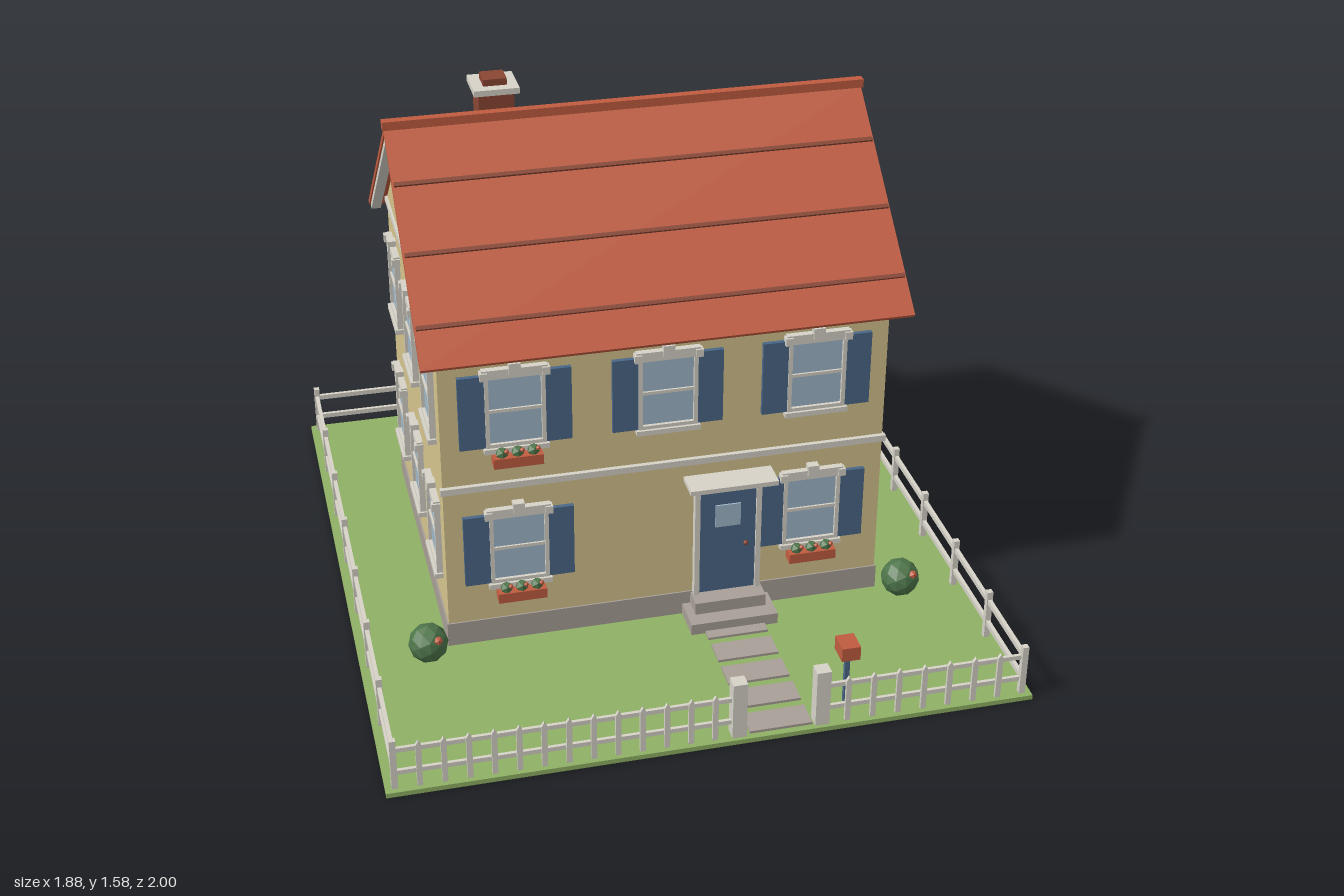
import * as THREE from 'three';

const mat = (name, color, flat = false) => {
  const m = new THREE.MeshStandardMaterial({ color, flatShading: flat });
  m.name = name;
  return m;
};

export function createModel() {
  const M = {
    wall: mat('wall cream', 0xd4c48c), trim: mat('trim white', 0xd6d2c8),
    roof: mat('roof red', 0xc05c40), brick: mat('brick brown', 0x8a4633),
    blue: mat('shutter blue', 0x4a6788), glass: mat('window glass', 0x9fb8ca),
    stone: mat('stone grey', 0xa89f97), grass: mat('grass green', 0x8fb064),
    leaf: mat('leaf green', 0x4d7449, true), gold: mat('autumn gold', 0xb8963f, true),
  };
  const model = new THREE.Group();
  model.name = 'houseWithGarden';

  const add = (parent, name, geo, m, x = 0, y = 0, z = 0) => {
    const mesh = new THREE.Mesh(geo, m);
    mesh.name = name;
    mesh.position.set(x, y, z);
    parent.add(mesh);
    return mesh;
  };
  const box = (parent, name, m, w, h, d, x, y, z) =>
    add(parent, name, new THREE.BoxGeometry(w, h, d), m, x, y, z);
  const group = (parent, name, x = 0, y = 0, z = 0, ry = 0) => {
    const g = new THREE.Group();
    g.name = name;
    g.position.set(x, y, z);
    g.rotation.y = ry;
    parent.add(g);
    return g;
  };

  const HX = 0.665, ZF = 0.372, ZB = -0.635, ZM = -0.13, LAWN = 0.015;

  // Lawn and path
  box(model, 'lawn', M.grass, 1.88, LAWN, 2, 0, LAWN / 2, 0);
  for (let i = 0; i < 5; i++)
    box(model, 'pathStone', M.stone, 0.185, 0.008, 0.082, 0.187, LAWN + 0.004, 0.487 + i * 0.113);

  // House body with gables
  const house = group(model, 'house');
  const gable = new THREE.Shape();
  gable.moveTo(ZF, LAWN);
  gable.lineTo(ZF, 1.038);
  gable.lineTo(ZM, 1.465);
  gable.lineTo(ZB, 1.038);
  gable.lineTo(ZB, LAWN);
  const bodyGeo = new THREE.ExtrudeGeometry(gable, { depth: HX * 2, bevelEnabled: false });
  bodyGeo.translate(0, 0, -HX).rotateY(-Math.PI / 2);
  add(house, 'walls', bodyGeo, M.wall);
  box(house, 'foundation', M.stone, HX * 2 + 0.01, 0.078, ZF - ZB + 0.01, 0, LAWN + 0.039, (ZF + ZB) / 2);
  box(house, 'beltCourse', M.trim, 1.345, 0.02, 0.016, 0, 0.56, ZF + 0.006);
  for (const s of [-1, 1])
    box(house, 'gableBand', M.trim, 0.01, 0.02, ZF - ZB, s * (HX + 0.003), 1.035, (ZF + ZB) / 2);

  // Roof: two mirrored slopes with battens and rake boards
  const roof = group(house, 'roof', 0, 1.487, ZM);
  for (const ry of [0, Math.PI]) {
    const side = group(roof, 'roofSide', 0, 0, 0, ry);
    const slope = group(side, 'roofSlope');
    slope.rotation.x = 0.705;
    box(slope, 'roofPanel', M.roof, 1.435, 0.016, 0.75, 0, -0.008, 0.375);
    for (const z of [0.184, 0.404, 0.626])
      box(slope, 'roofBatten', M.brick, 1.425, 0.01, 0.012, 0, 0.004, z);
    for (const s of [-1, 1])
      box(slope, 'rakeBoard', M.trim, 0.03, 0.018, 0.735, s * 0.698, -0.024, 0.372);
  }
  box(roof, 'ridgeCap', M.roof, 1.445, 0.026, 0.028, 0, 0.009, 0);

  // Chimney
  const chimney = group(house, 'chimney', -0.38, 0, -0.225);
  box(chimney, 'chimneyStack', M.brick, 0.105, 0.24, 0.105, 0, 1.425, 0);
  box(chimney, 'chimneyCap', M.trim, 0.135, 0.018, 0.135, 0, 1.553, 0);
  box(chimney, 'chimneyPot', M.brick, 0.07, 0.02, 0.07, 0, 1.572, 0);

  // Windows, built facing +z around their centre
  function addWindow(x, y, z, ry, shutters, planter) {
    const w = group(house, 'window', x, y, z, ry);
    box(w, 'windowPane', M.glass, 0.16, 0.22, 0.008, 0, 0, 0.004);
    for (const s of [-1, 1]) {
      box(w, 'windowJamb', M.trim, 0.012, 0.235, 0.018, s * 0.082, 0, 0.009);
      box(w, 'windowRail', M.trim, 0.152, 0.012, 0.018, 0, s * 0.112, 0.009);
      box(w, 'lintelBlock', M.trim, 0.022, 0.024, 0.026, s * 0.09, 0.12, 0.013);
      if (shutters) box(w, 'shutter', M.blue, 0.076, 0.235, 0.014, s * 0.126, 0, 0.007);
    }
    box(w, 'windowMidRail', M.trim, 0.152, 0.01, 0.014, 0, 0, 0.007);
    box(w, 'lintel', M.trim, 0.19, 0.02, 0.02, 0, 0.127, 0.01);
    box(w, 'keystone', M.trim, 0.034, 0.034, 0.026, 0, 0.138, 0.013);
    box(w, 'sill', M.trim, 0.19, 0.016, 0.026, 0, -0.125, 0.013);
    if (planter) {
      box(w, 'flowerBox', M.roof, 0.145, 0.032, 0.042, 0, -0.153, 0.03);
      for (const i of [-1, 0, 1]) {
        add(w, 'boxPlant', new THREE.IcosahedronGeometry(0.02, 0), M.leaf, i * 0.046, -0.13, 0.03);
        add(w, 'boxFlower', new THREE.IcosahedronGeometry(0.008, 0), M.roof, i * 0.046 + 0.012, -0.118, 0.043);
      }
    }
  }
  for (const [row, y] of [0.345, 0.811].entries()) {
    for (const x of [-0.447, 0, 0.447])
      if (row || x) addWindow(x, y, ZF, 0, true, x < 0 || (!row && x > 0));
    for (const x of [-0.492, -0.164, 0.164, 0.492]) addWindow(x, y, ZB, Math.PI, false);
    for (const z of [0.12, -0.378]) addWindow(HX, y, z, Math.PI / 2, true);
    for (const z of [0.21, ZM, -0.47]) addWindow(-HX, y, z, -Math.PI / 2, false);
  }

  // Front door, canopy and steps
  const entry = group(house, 'entry', 0.186, 0, ZF);
  box(entry, 'door', M.blue, 0.175, 0.36, 0.016, 0, 0.272, 0.008);
  box(entry, 'doorWindow', M.glass, 0.078, 0.076, 0.006, 0, 0.362, 0.018);
  add(entry, 'doorKnob', new THREE.SphereGeometry(0.008, 8, 6), M.brick, 0.057, 0.255, 0.02);
  for (const s of [-1, 1])
    box(entry, 'doorJamb', M.trim, 0.016, 0.375, 0.024, s * 0.095, 0.277, 0.012);
  box(entry, 'doorHead', M.trim, 0.206, 0.018, 0.024, 0, 0.457, 0.012);
  box(entry, 'canopy', M.trim, 0.268, 0.015, 0.088, 0, 0.498, 0.044);
  box(entry, 'upperStep', M.stone, 0.22, 0.075, 0.07, 0, LAWN + 0.0375, 0.035);
  box(entry, 'lowerStep', M.stone, 0.27, 0.036, 0.12, 0, LAWN + 0.018, 0.06);

  // Rail fence on the sides and back
  const fence = group(model, 'fence');
  const FX = 0.913, FZ = 0.975;
  const post = (x, z) => box(fence, 'fencePost', M.trim, 0.018, 0.162, 0.018, x, LAWN + 0.081, z);
  for (const s of [-1, 1]) {
    for (let i = 0; i < 8; i++) post(s * FX, FZ - (i * 2 * FZ) / 7);
    for (const y of [0.068, 0.143])
      box(fence, 'sideRail', M.trim, 0.012, 0.016, 2 * FZ, s * FX, y, 0);
  }
  for (let i = 1; i < 6; i++) post(-FX + (i * 2 * FX) / 6, -FZ);
  for (const y of [0.068, 0.143]) box(fence, 'backRail', M.trim, 2 * FX, 0.016, 0.012, 0, y, -FZ);

  // Picket fence and gate posts along the front
  const picket = new THREE.Shape();
  picket.moveTo(-0.008, LAWN);
  picket.lineTo(0.008, LAWN);
  picket.lineTo(0.008, 0.152);
  picket.lineTo(0, 0.166);
  picket.lineTo(-0.008, 0.152);
  const picketGeo = new THREE.ExtrudeGeometry(picket, { depth: 0.01, bevelEnabled: false });
  for (const [x0, x1, n] of [[-FX, 0.062, 14], [0.306, FX, 8]]) {
    for (let i = 1; i < n; i++)
      add(fence, 'picket', picketGeo, M.trim, x0 + ((x1 - x0) * i) / n, 0, FZ);
    for (const y of [0.062, 0.138])
      box(fence, 'frontRail', M.trim, x1 - x0, 0.014, 0.01, (x0 + x1) / 2, y, FZ - 0.005);
  }
  for (const x of [0.062, 0.306])
    box(fence, 'gatePost', M.trim, 0.042, 0.183, 0.042, x, LAWN + 0.0915, 0.968);

  // Mailbox
  const mailbox = group(model, 'mailbox', 0.402, 0, 0.9);
  box(mailbox, 'mailboxPost', M.blue, 0.014, 0.175, 0.014, 0, LAWN + 0.0875, 0);
  box(mailbox, 'mailboxBody', M.roof, 0.055, 0.044, 0.068, 0, 0.205, 0);

  // Tree
  const tree = group(model, 'tree', 0.785, 0, -0.838);
  add(tree, 'trunk', new THREE.CylinderGeometry(0.01, 0.014, 0.23, 6), M.brick, 0, 0.125, 0);
  const crown = add(tree, 'crown', new THREE.IcosahedronGeometry(0.126, 0), M.gold, 0, 0.322, 0);
  crown.rotation.y = Math.PI / 2;
  crown.scale.y = 1.05;

  // Bushes at the front corners
  for (const s of [-1, 1]) {
    const bush = group(model, 'bush', s * 0.735, 0.07, 0.42);
    add(bush, 'bushLeaves', new THREE.IcosahedronGeometry(0.06, 1), M.leaf);
    add(bush, 'bushFlower', new THREE.IcosahedronGeometry(0.014, 0), M.roof, 0.025, 0.032, 0.042);
  }
  return model;
}
